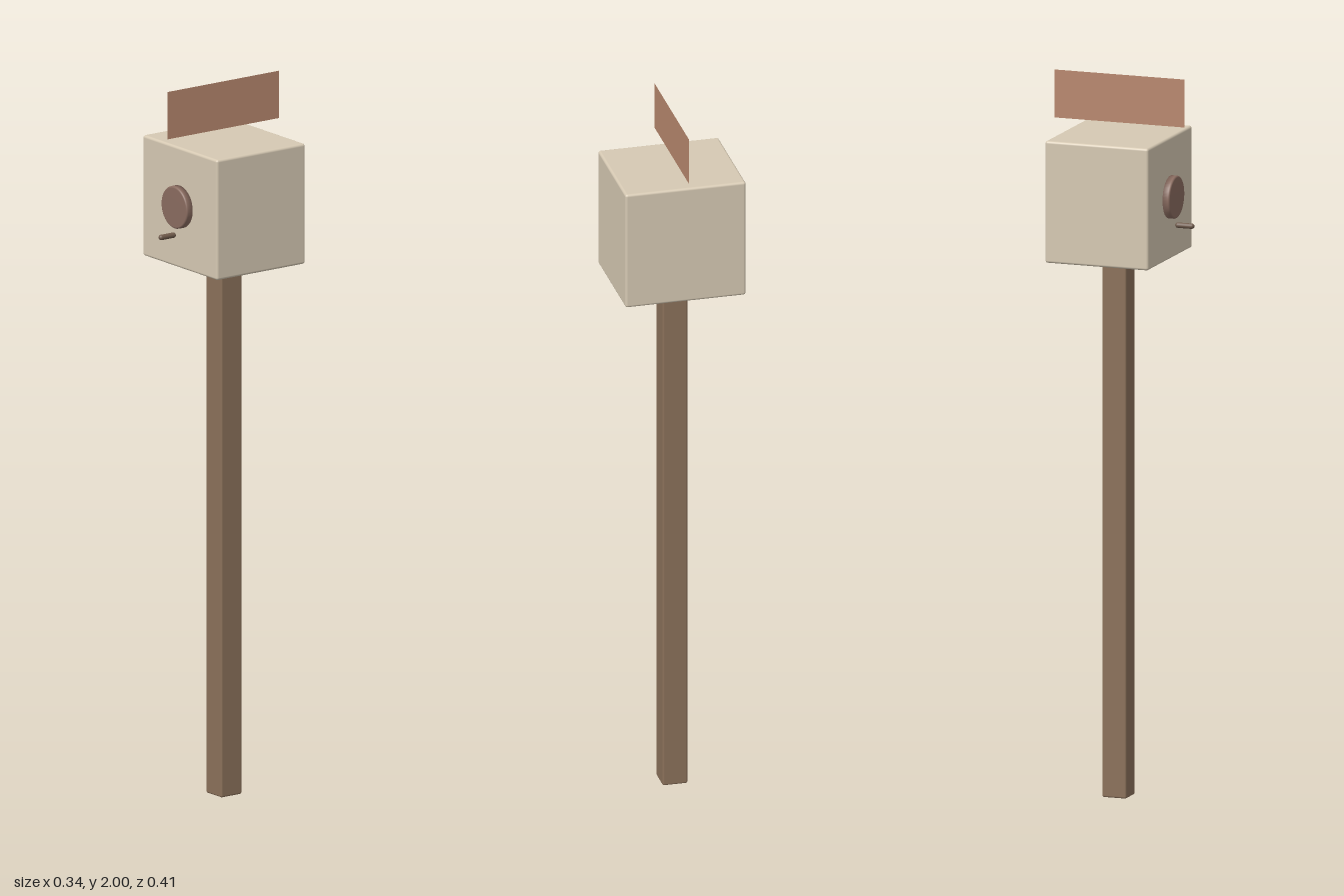
import * as THREE from 'three';
import { RoundedBoxGeometry } from 'three/addons/geometries/RoundedBoxGeometry.js';

const CENTRE_Z = -0.017;

export function createModel() {
  const model = new THREE.Group();
  model.name = 'birdhouse';

  const add = (name, geometry, color, x, y, z) => {
    const mesh = new THREE.Mesh(geometry, new THREE.MeshStandardMaterial({ color }));
    mesh.name = name;
    mesh.position.set(x, y, z);
    model.add(mesh);
    return mesh;
  };

  // Square post with slightly eased edges
  add('post', new RoundedBoxGeometry(0.07, 1.5, 0.07, 3, 0.005), 0x8b715a, 0, 0.75, CENTRE_Z);

  // Nest box
  add('house', new RoundedBoxGeometry(0.338, 0.338, 0.3, 4, 0.007), 0xd6c9b3, 0, 1.668, CENTRE_Z);

  // Entrance disc with a rounded front rim, turned to face +z
  const radius = 0.059, depth = 0.023, rim = 0.005;
  const profile = [new THREE.Vector2(0, 0), new THREE.Vector2(radius, 0)];
  for (let i = 0; i <= 4; i++) {
    const a = (i / 4) * Math.PI / 2;
    profile.push(new THREE.Vector2(radius - rim + rim * Math.cos(a), depth - rim + rim * Math.sin(a)));
  }
  profile.push(new THREE.Vector2(0, depth));
  const disc = new THREE.LatheGeometry(profile, 40).rotateX(Math.PI / 2);
  add('entrance', disc, 0x8a6c60, 0, 1.672, 0.13);

  // Round-ended perch below the entrance
  const perch = new THREE.CapsuleGeometry(0.0075, 0.04, 6, 16).rotateX(Math.PI / 2);
  add('perch', perch, 0x6f5a4b, 0, 1.595, 0.1755);

  // Thin upright roof panel along the ridge
  const panel = new THREE.PlaneGeometry(0.378, 0.133).rotateY(Math.PI / 2);
  add('roofPanel', panel, 0xb8886e, 0, 1.9335, -0.014).material.side = THREE.DoubleSide;

  return model;
}
